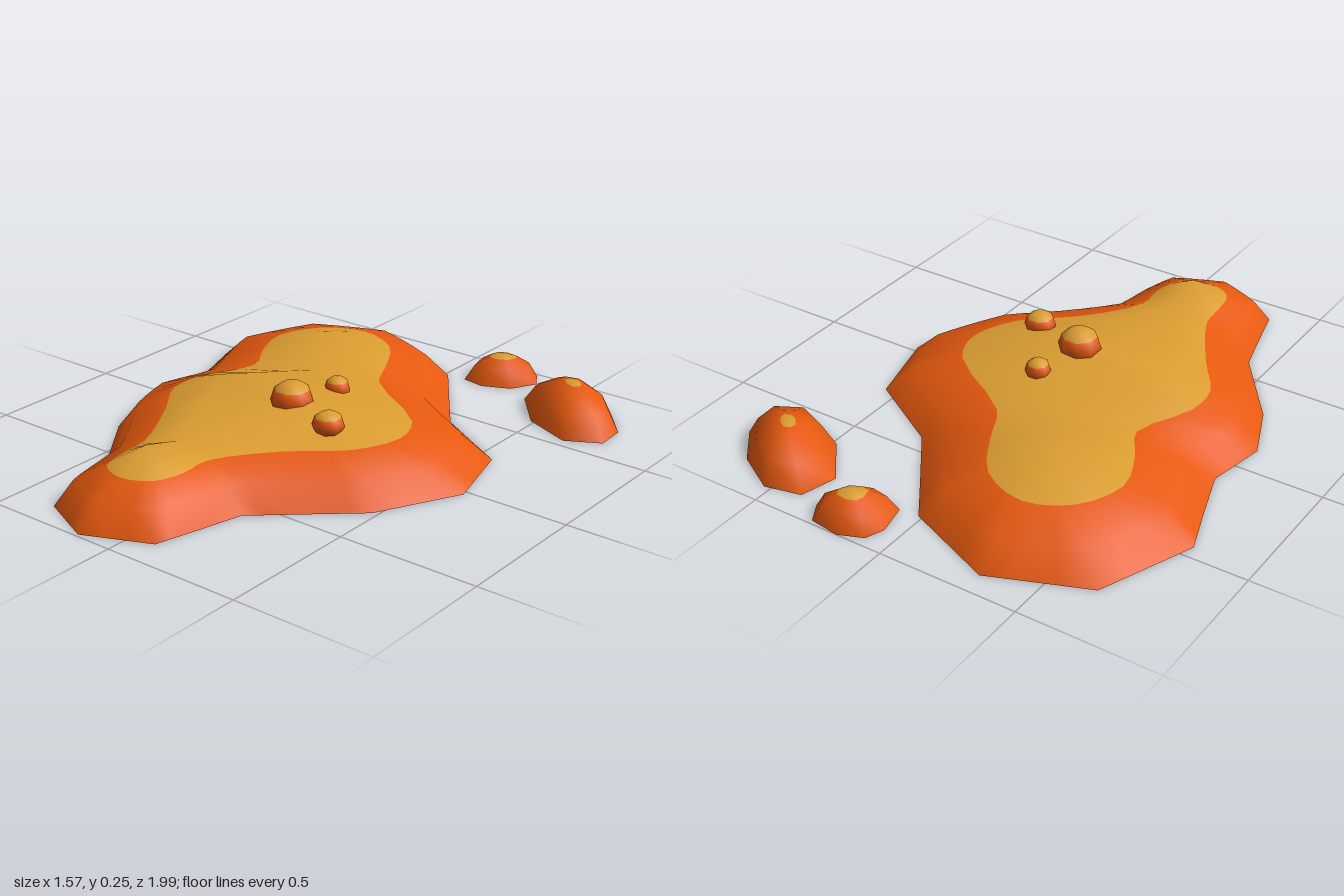
import * as THREE from 'three';
import { mergeVertices } from 'three/addons/utils/BufferGeometryUtils.js';

const crust = new THREE.MeshStandardMaterial({ name: 'orange crust', color: 0xe6590f, side: THREE.DoubleSide });
const glow = new THREE.MeshStandardMaterial({ name: 'golden top', color: 0xdc9d31, side: THREE.DoubleSide });

// Skins neighbouring loops (outermost first); the bands from goldFrom inward are golden.
// An optional centre closes the last loop with a fan wherever fanAt(i) is true.
function loopMesh(name, loops, goldFrom, centre, fanAt = () => true) {
  const n = loops[0].length;
  const points = loops.flat();
  const index = [];
  let split = 0;
  loops.slice(1).forEach((_, k) => {
    if (k + 1 === goldFrom) split = index.length;
    for (let i = 0; i < n; i++) {
      const a = k * n + i, b = k * n + (i + 1) % n;
      index.push(a, a + n, b + n, a, b + n, b);
    }
  });
  if (goldFrom >= loops.length) split = index.length;
  if (centre) {
    const base = (loops.length - 1) * n;
    points.push(centre);
    for (let i = 0; i < n; i++) {
      if (fanAt(i)) index.push(base + i, points.length - 1, base + (i + 1) % n);
    }
  }
  let geo = new THREE.BufferGeometry().setFromPoints(points);
  geo.setIndex(index);
  geo = mergeVertices(geo, 1e-4);
  geo.computeVertexNormals();
  geo.clearGroups();
  geo.addGroup(0, split, 0);
  geo.addGroup(split, index.length - split, 1);
  const mesh = new THREE.Mesh(geo, [crust, glow]);
  mesh.name = name;
  return mesh;
}

// Main puddle: straight-sided rim, rounded golden edge and a ridge joining four humps
function puddle() {
  const ridge = {
    A: [-0.30, 0.2, -0.45], V: [-0.17, 0.155, -0.22], R: [0.12, 0.2, 0.05],
    W: [-0.13, 0.16, 0.54], C: [-0.125, 0.2, 0.69], L: [-0.33, 0.2, 0.1],
  };
  // rim x, z, golden edge x, z, ridge point
  const rows = [
    [-0.315, -0.92, -0.31, -0.685, 'A'], [0.015, -0.785, -0.14, -0.62, 'A'],
    [0.14, -0.61, -0.03, -0.45, 'A'], [0.27, -0.43, 0.04, -0.315, 'V'],
    [0.555, -0.26, 0.33, -0.11, 'R'], [0.63, 0.02, 0.38, 0.03, 'R'],
    [0.48, 0.31, 0.31, 0.2, 'R'], [0.33, 0.44, 0.14, 0.35, 'R'],
    [0.17, 0.58, 0.0, 0.55, 'W'], [0.13, 0.74, 0.005, 0.66, 'C'],
    [0.09, 0.89, -0.03, 0.765, 'C'], [-0.14, 0.99, -0.13, 0.81, 'C'],
    [-0.34, 0.9, -0.225, 0.77, 'C'], [-0.38, 0.74, -0.25, 0.65, 'C'],
    [-0.42, 0.59, -0.26, 0.56, 'W'], [-0.52, 0.455, -0.39, 0.32, 'L'],
    [-0.62, 0.32, -0.49, 0.17, 'L'], [-0.705, 0.115, -0.495, 0.04, 'L'],
    [-0.665, -0.1, -0.41, -0.17, 'V'], [-0.725, -0.28, -0.475, -0.29, 'A'],
    [-0.785, -0.45, -0.53, -0.45, 'A'], [-0.65, -0.785, -0.46, -0.61, 'A'],
  ];
  const n = rows.length, sub = 3;
  const curve = new THREE.CatmullRomCurve3(rows.map(r => new THREE.Vector3(r[2], 0.13, r[3])), true);
  const rim = [], shoulder = [], edge = [], crest = [];
  for (let i = 0; i < n * sub; i++) {
    const r = rows[Math.floor(i / sub)], s = rows[(Math.floor(i / sub) + 1) % n], t = (i % sub) / sub;
    const o = new THREE.Vector3(r[0], 0, r[1]).lerp(new THREE.Vector3(s[0], 0, s[1]), t);
    const g = curve.getPoint(i / (n * sub));
    const h = o.clone().lerp(g, 0.38);
    h.y = 0.087;
    rim.push(o);
    shoulder.push(h);
    edge.push(g);
    crest.push(new THREE.Vector3(...ridge[r[4]]).lerp(new THREE.Vector3(...ridge[s[4]]), t));
  }
  // the fan fills the basin between the humps
  const basin = i => (i >= 3 * sub && i < 8 * sub) || (i >= 14 * sub && i < 18 * sub);
  return loopMesh('puddle', [rim, shoulder, edge, crest], 3, new THREE.Vector3(-0.06, 0.175, 0.12), basin);
}

// Small separate drop: its rim shrinks towards a peak; tip is the golden share
function drop(name, outline, [px, height, pz], tip) {
  const ring = (k, y) => outline.map(([x, z]) =>
    new THREE.Vector3(px + (x - px) * k, y, pz + (z - pz) * k));
  const loops = [ring(1, 0), ring(0.74, height * 0.57), ring(0.36, height * 0.87)];
  if (tip) loops.push(ring(tip, height * 0.96));
  return loopMesh(name, loops, loops.length, new THREE.Vector3(px, height, pz));
}

// Faceted bubble with a golden cap
function bubble(x, y, z, r, h) {
  const group = new THREE.Group();
  group.name = 'bubble';
  const cut = Math.PI * 0.3;
  [['bubbleCap', glow, 2, 0, cut], ['bubbleBody', crust, 3, cut, Math.PI - cut]].forEach(
    ([name, material, rings, start, length]) => {
      const mesh = new THREE.Mesh(new THREE.SphereGeometry(1, 8, rings, 0, Math.PI * 2, start, length), material);
      mesh.name = name;
      group.add(mesh);
    });
  group.scale.set(r, h, r);
  group.rotation.y = Math.PI / 8;
  group.position.set(x, y, z);
  return group;
}

export function createModel() {
  const model = new THREE.Group();
  model.name = 'splat';
  model.add(puddle());
  model.add(drop('smallDrop', [
    [0.06, -0.9], [0.085, -0.965], [0.17, -1], [0.28, -0.985],
    [0.32, -0.915], [0.27, -0.82], [0.17, -0.775], [0.085, -0.79],
  ], [0.19, 0.1, -0.89]));
  model.add(drop('largeDrop', [
    [0.36, -0.77], [0.395, -0.9], [0.525, -0.93], [0.675, -0.845],
    [0.775, -0.72], [0.78, -0.605], [0.66, -0.54], [0.485, -0.615],
  ], [0.575, 0.135, -0.74], 0.17));
  model.add(bubble(-0.015, 0.19, 0.1, 0.077, 0.065));
  model.add(bubble(0.19, 0.178, 0.165, 0.057, 0.044));
  model.add(bubble(0.025, 0.178, -0.095, 0.046, 0.042));
  return model;
}
